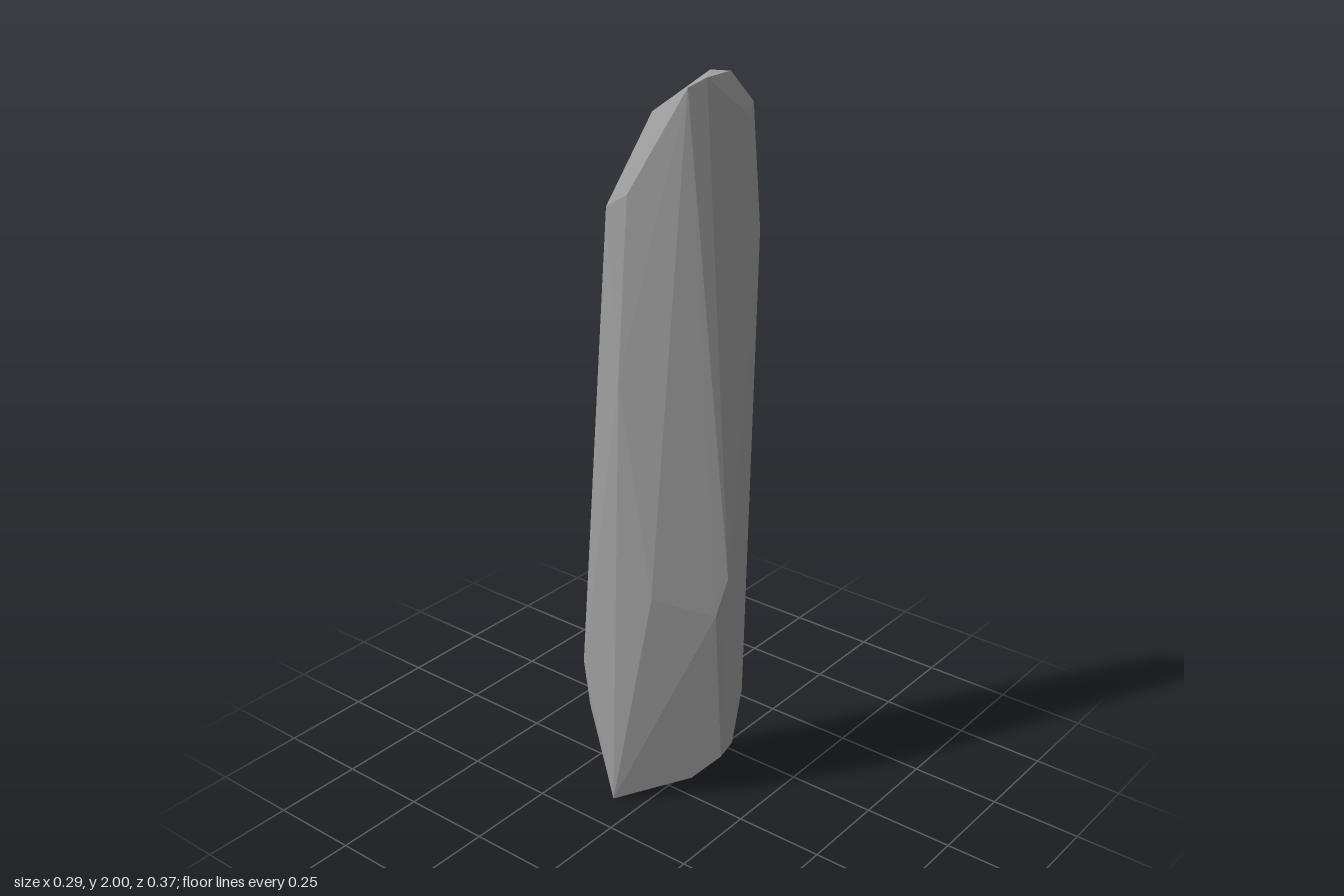
import * as THREE from 'three';
import { ConvexGeometry } from 'three/addons/geometries/ConvexGeometry.js';

// Corner points of the faceted shard, [x, y, z], grouped from tip to base
const cap = [
  [-0.01, 2, 0.12], [0.08, 2, 0.12], [0.06, 2, 0.075], [-0.05, 1.98, 0.095],
  [-0.05, 1.91, -0.01], [0.035, 1.91, -0.01], [0.08, 1.92, 0.01],
  [0.145, 1.91, 0.115], [0.145, 1.92, 0.14], [0.1, 1.9, 0.16],
];
const shoulder = [
  [-0.115, 1.68, -0.1], [-0.085, 1.68, -0.1], [-0.115, 1.72, -0.035],
  [0.122, 1.62, 0.183], [-0.137, 1.25, -0.05],
];
const flank = [
  [0.015, 0.71, 0.183], [-0.005, 0.6, 0.16], [-0.11, 0.65, 0.03],
  [-0.137, 0.4, -0.185], [-0.115, 0.25, -0.185], [-0.03, 0.33, -0.165],
  [0.035, 0.38, -0.14], [0.035, 0.28, -0.14],
  [0.145, 0.3, 0.14], [0.145, 0.3, 0.115],
];
const base = [
  [0.1, 0.2, -0.01], [0.1, 0.15, 0.143], [0.05, 0.13, 0.143],
  [0.03, 0.06, 0.08], [0, 0.06, 0.08], [-0.11, 0.08, -0.11], [-0.145, 0, -0.08],
];

export function createModel() {
  const group = new THREE.Group();
  group.name = 'stoneShard';

  const stone = new THREE.MeshStandardMaterial({ color: 0xa0a0a0 });
  stone.name = 'grey stone';
  stone.flatShading = true;

  // Single chipped stone body
  const points = [...cap, ...shoulder, ...flank, ...base].map((p) => new THREE.Vector3(...p));
  const body = new THREE.Mesh(new ConvexGeometry(points), stone);
  body.name = 'stoneBody';
  group.add(body);
  return group;
}
